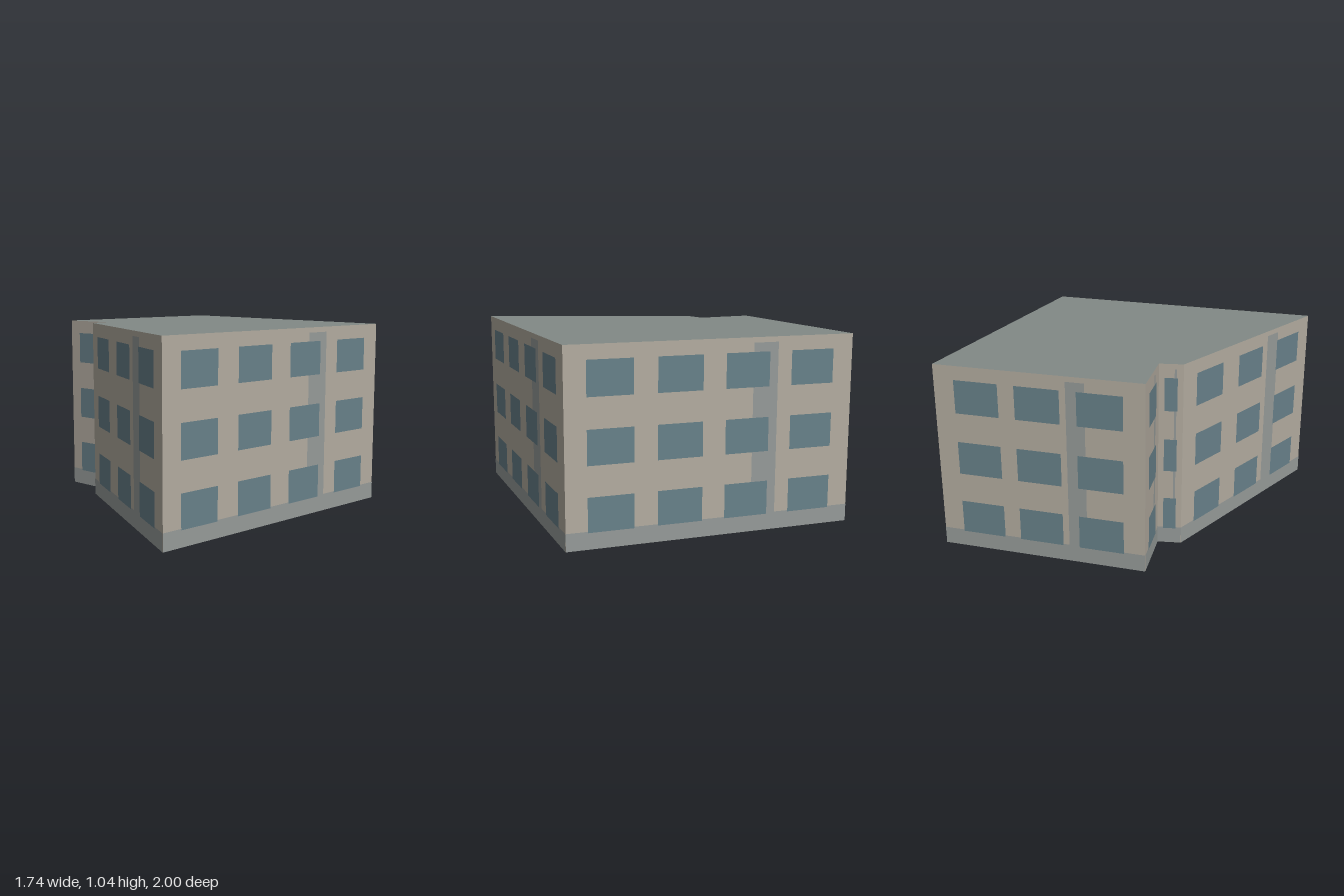
import * as THREE from 'three';

const HEIGHT = 1.04;

// Footprint corners (x, z); each wall runs left to right as seen from outside
const FOOTPRINT = [
  [-0.54, 0.295], [0.53, 0.995], [0.865, -0.61],
  [-0.675, -1.0], [-0.87, 0.13], [-0.54, 0.165],
];
const NAMES = ['frontWall', 'rightWall', 'backWall', 'leftWall', 'wingFrontWall', 'recessWall'];

const mat = (color, side = THREE.FrontSide) =>
  new THREE.MeshStandardMaterial({ color, side });

const wallMat = mat(0xb3aca0, THREE.DoubleSide);
const roofMat = mat(0x828a86, THREE.DoubleSide);
const trimMat = mat(0x969b99);
const glassMat = mat(0x68818a);

// Flat panel lying on a wall, given by its left, bottom, width, height and offset
function panel(name, material, x, y, w, h, offset) {
  const mesh = new THREE.Mesh(new THREE.PlaneGeometry(w, h), material);
  mesh.position.set(x + w / 2, y + h / 2, offset);
  mesh.name = name;
  return mesh;
}

function buildWall(name, [x0, z0], [x1, z1]) {
  const wall = new THREE.Group();
  wall.name = name;
  const length = Math.hypot(x1 - x0, z1 - z0);
  wall.position.set(x0, 0, z0);
  wall.rotation.y = Math.atan2(z0 - z1, x1 - x0);

  wall.add(panel('wallSurface', wallMat, 0, 0, length, HEIGHT, 0));
  wall.add(panel('plinth', trimMat, 0, 0, length, 0.095, 0.0015));
  // Vertical strip between plinth and eaves
  wall.add(panel('verticalStrip', trimMat, length * 0.636, 0.095, length * 0.088, 0.917, 0.0015));

  // Three storeys of evenly spaced windows
  const columns = Math.max(1, Math.round(length / 0.41));
  const width = Math.min(0.245, length * 0.53);
  const first = columns > 1 ? 0.115 : (length - width) / 2;
  const step = columns > 1 ? (length - 2 * first - width) / (columns - 1) : 0;
  for (let row = 0; row < 3; row++) {
    for (let col = 0; col < columns; col++) {
      wall.add(panel('window', glassMat, first + col * step, 0.088 + row * 0.346, width, 0.184, 0.003));
    }
  }
  return wall;
}

export function createModel() {
  const building = new THREE.Group();
  building.name = 'building';

  FOOTPRINT.forEach((corner, i) => {
    building.add(buildWall(NAMES[i], corner, FOOTPRINT[(i + 1) % FOOTPRINT.length]));
  });

  // Flat roof; the underside of the building stays open
  const outline = new THREE.Shape(FOOTPRINT.map(([x, z]) => new THREE.Vector2(x, -z)));
  const roof = new THREE.Mesh(new THREE.ShapeGeometry(outline).rotateX(-Math.PI / 2), roofMat);
  roof.position.y = HEIGHT;
  roof.name = 'roof';
  building.add(roof);

  return building;
}
